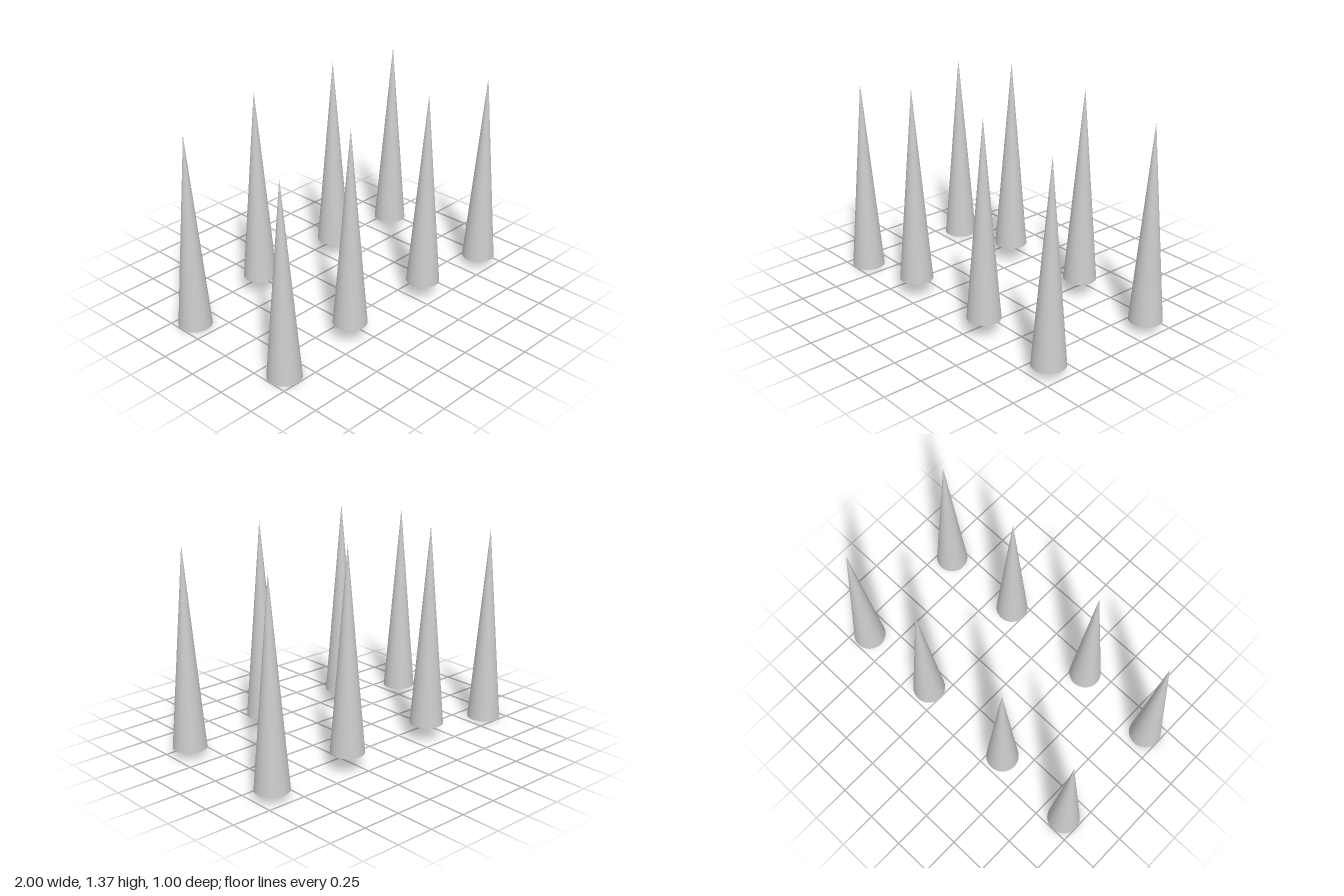
import * as THREE from 'three';

const RADIUS = 0.105;
const HEIGHT = 1.263;
const ROW_Z = 0.395;

// One column of spikes per entry: sideways position and height of the base
const COLUMNS = [
  { x: -0.895, base: 0 },
  { x: -0.349, base: 0.11 },
  { x: 0.322, base: 0.11 },
  { x: 0.895, base: 0.055 },
];

export function createModel() {
  const model = new THREE.Group();
  model.name = 'spikes';
  const material = new THREE.MeshStandardMaterial({ color: 0xcccccc });

  // Smooth closed cone standing on its base
  const cone = new THREE.ConeGeometry(RADIUS, HEIGHT, 48);
  cone.translate(0, HEIGHT / 2, 0);

  // Matching front and back rows
  for (const [rowName, z] of [['front', ROW_Z], ['back', -ROW_Z]]) {
    const row = new THREE.Group();
    row.name = `${rowName}Row`;
    row.position.z = z;
    COLUMNS.forEach(({ x, base }, i) => {
      const spike = new THREE.Mesh(cone, material);
      spike.name = `${rowName}Spike${i + 1}`;
      spike.position.set(x, base, 0);
      row.add(spike);
    });
    model.add(row);
  }
  return model;
}
